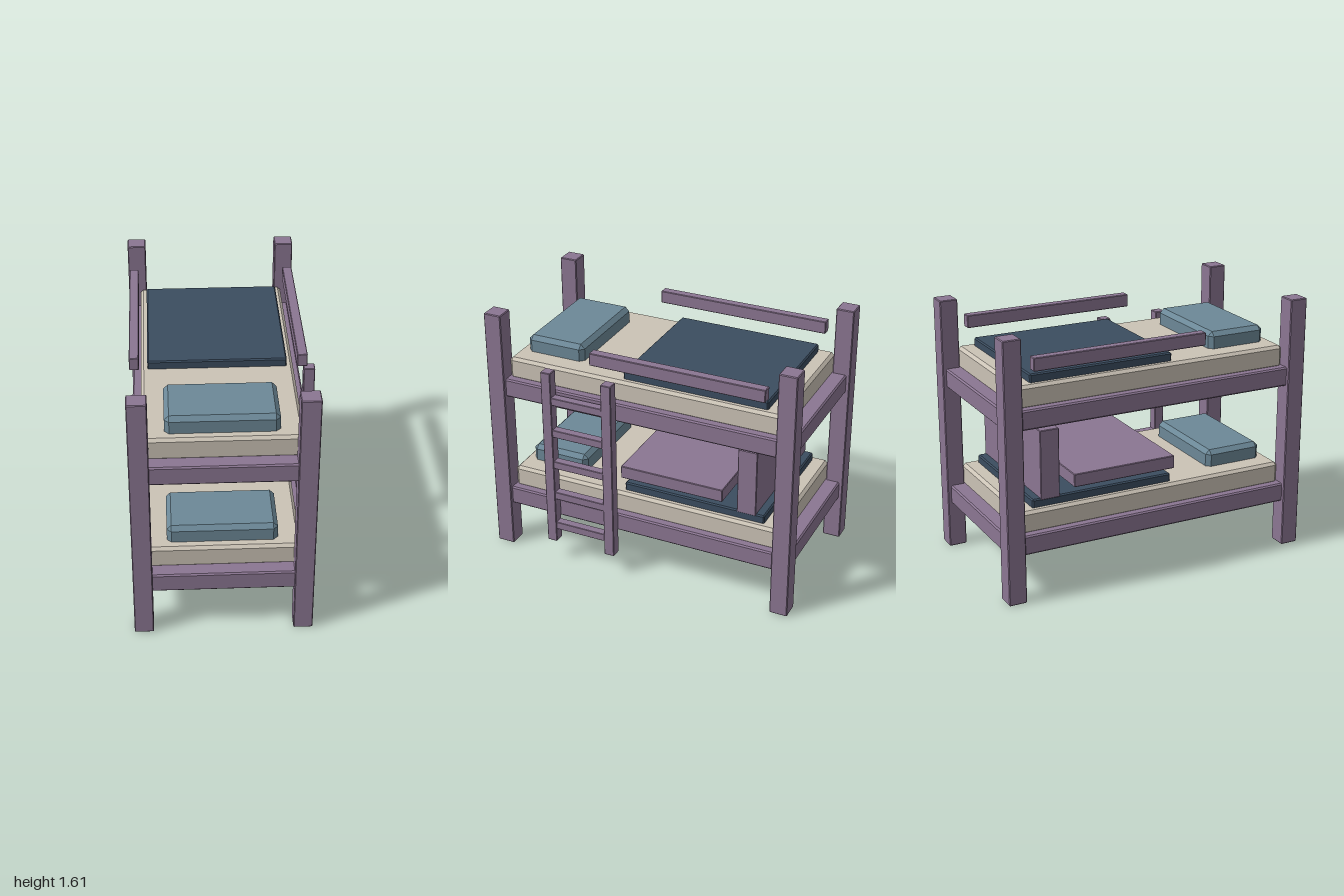
import * as THREE from 'three';
import { ConvexGeometry } from 'three/addons/geometries/ConvexGeometry.js';

const mat = (name, color) => {
  const m = new THREE.MeshStandardMaterial({ color });
  m.name = name;
  return m;
};

// Box between min and max corners with every edge chamfered by c
function chamferBox(min, max, c) {
  const points = [];
  for (const sx of [-1, 1]) for (const sy of [-1, 1]) for (const sz of [-1, 1]) {
    const s = [sx, sy, sz];
    for (let axis = 0; axis < 3; axis++) {
      const p = s.map((v, i) => (v < 0 ? min[i] : max[i]) - (i === axis ? 0 : v * c));
      points.push(new THREE.Vector3(...p));
    }
  }
  return new ConvexGeometry(points);
}

export function createModel() {
  const wood = mat('purple wood', 0x8b7692);
  const sheet = mat('cream sheet', 0xcbc3b6);
  const pillowBlue = mat('pillow blue', 0x6c8897);
  const blanketBlue = mat('blanket navy', 0x3b4d60);

  const model = new THREE.Group();
  model.name = 'bunkBed';

  const add = (parent, name, material, x, y, z, c = 0.005) => {
    const mesh = new THREE.Mesh(
      chamferBox([x[0], y[0], z[0]], [x[1], y[1], z[1]], c), material);
    mesh.name = name;
    parent.add(mesh);
  };

  // Corner posts
  for (const x of [[-0.56, -0.445], [0.39, 0.505]])
    for (const z of [[-1, -0.887], [0.887, 1]])
      add(model, 'post', wood, x, [0, 1.61], z);

  // Two bunks: frame, mattress, blanket and pillow
  const bunk = (name, y) => {
    const g = new THREE.Group();
    g.name = name;
    add(g, 'frame', wood, [-0.537, 0.482], [0, 0.12], [-0.977, 0.977], 0.009);
    add(g, 'mattress', sheet, [-0.485, 0.43], [0.105, 0.247], [-0.885, 0.885], 0.018);
    add(g, 'blanket', blanketBlue, [-0.445, 0.39], [0.235, 0.298], [-0.79, 0.13], 0.008);
    add(g, 'pillow', pillowBlue, [-0.355, 0.3], [0.22, 0.35], [0.447, 0.827], 0.027);
    g.position.y = y;
    model.add(g);
  };
  bunk('lowerBunk', 0.292);
  bunk('upperBunk', 1.06);

  // Guard rails along the upper bunk
  for (const x of [[-0.55, -0.493], [0.435, 0.495]])
    add(model, 'guardRail', wood, x, [1.405, 1.485], [-0.81, 0.3], 0.004);

  // Seat board and upright panel over the lower bunk
  add(model, 'seatBoard', wood, [-0.45, 0.395], [0.62, 0.702], [-0.52, 0.155], 0.004);
  add(model, 'backPanel', wood, [-0.45, 0.395], [0.58, 1.01], [-0.737, -0.615], 0.004);

  // Ladder
  const ladder = new THREE.Group();
  ladder.name = 'ladder';
  for (const z of [[0.133, 0.2], [0.535, 0.6]])
    add(ladder, 'ladderSide', wood, [0.487, 0.555], [0.14, 1.325], z, 0.004);
  for (let i = 0; i < 5; i++) {
    const y = 0.256 + i * 0.22;
    add(ladder, 'rung', wood, [0.495, 0.549], [y - 0.025, y + 0.025], [0.195, 0.54], 0.003);
  }
  model.add(ladder);

  return model;
}
